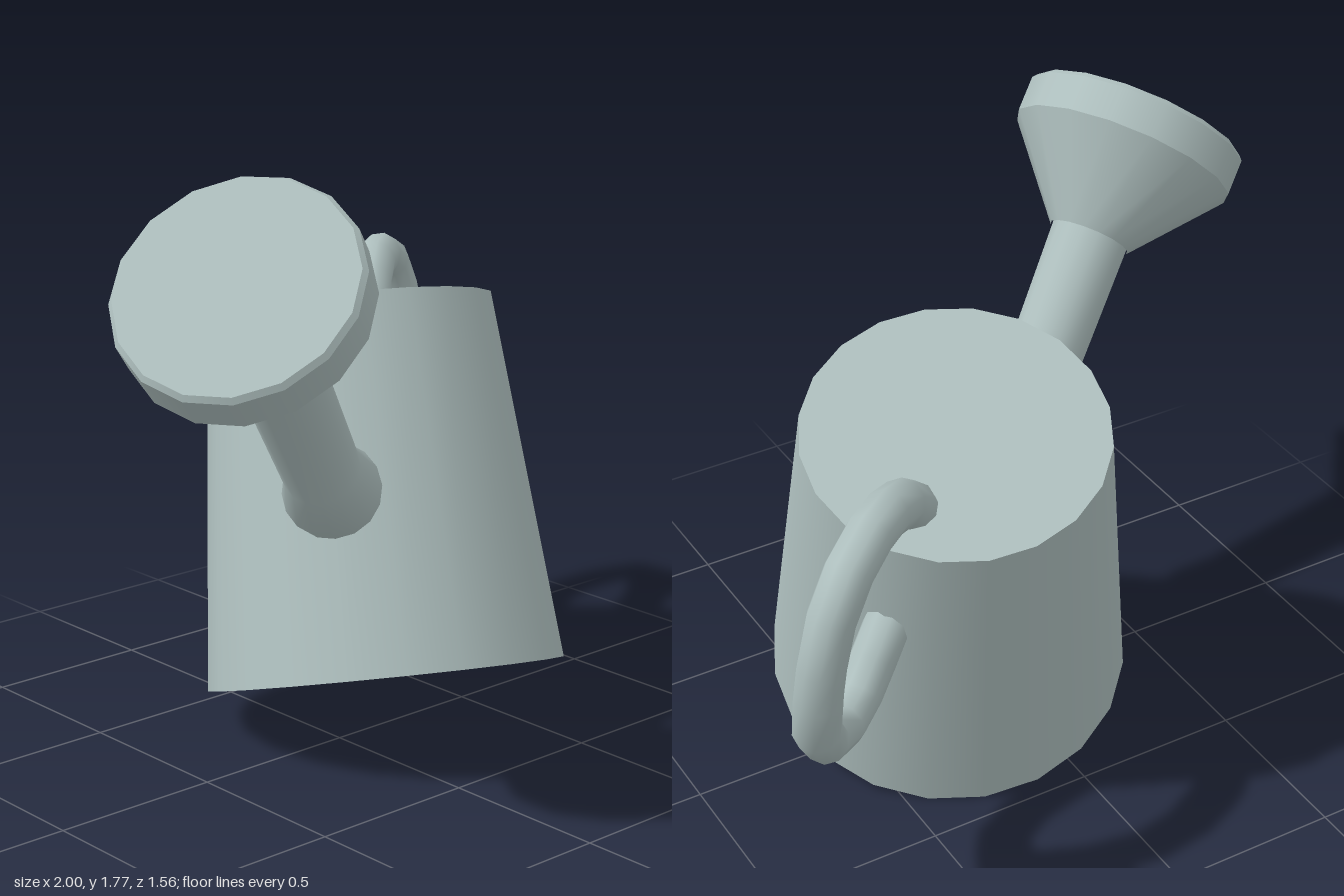
import * as THREE from 'three';
import { mergeVertices } from 'three/addons/utils/BufferGeometryUtils.js';

// Pipe in the XY plane through stations [x, y, radius], one ring per station.
function taperedPipe(stations, sides) {
  const n = stations.length - 1;
  let geo = new THREE.CylinderGeometry(1, 1, 1, sides, n, true);
  const pos = geo.attributes.position;
  for (let i = 0; i < pos.count; i++) {
    const k = Math.round((pos.getY(i) + 0.5) * n);
    const [x, y, r] = stations[k];
    const a = stations[Math.max(k - 1, 0)];
    const b = stations[Math.min(k + 1, n)];
    const t = new THREE.Vector2(b[0] - a[0], b[1] - a[1]).normalize();
    const u = pos.getX(i) * r;
    pos.setXYZ(i, x + t.y * u, y - t.x * u, pos.getZ(i) * r);
  }
  geo.deleteAttribute('uv');
  geo.deleteAttribute('normal');
  geo = mergeVertices(geo);
  geo.computeVertexNormals();
  return geo;
}

export function createModel() {
  const model = new THREE.Group();
  model.name = 'wateringCan';
  const metal = new THREE.MeshStandardMaterial({ color: 0xaebfbe });
  metal.name = 'greyMetal';

  const can = new THREE.Group();
  can.name = 'tiltedCan';
  const add = (name, geo, parent = can) => {
    const mesh = new THREE.Mesh(geo, metal);
    mesh.name = name;
    parent.add(mesh);
    return mesh;
  };

  // Tapered closed body, standing on the local origin
  const height = 1.082;
  add('body', new THREE.CylinderGeometry(0.425, 0.527, height, 20)).position.y = height / 2;

  // Handle from the lid round to the side
  const path = [
    [0.25, 1.02], [0.28, 1.1], [0.35, 1.2], [0.44, 1.27], [0.54, 1.305], [0.66, 1.3],
    [0.76, 1.23], [0.82, 1.09], [0.845, 0.98], [0.86, 0.84], [0.815, 0.72],
    [0.715, 0.645], [0.61, 0.645], [0.52, 0.69], [0.4, 0.76],
  ];
  add('handle', taperedPipe(path.map(([x, y]) => [x, y, 0.066]), 10));

  // Spout with a bend where it enters the body
  add('spout', taperedPipe([
    [-0.3, 0.515, 0.145], [-0.5, 0.535, 0.138], [-0.57, 0.58, 0.11], [-0.99, 0.867, 0.118],
  ], 16));

  // Sprinkler rose: cone, rim, bevel and face, with its face at the local origin
  const rose = new THREE.Group();
  rose.name = 'rose';
  rose.position.set(-1.31, 1.027, 0);
  rose.rotation.z = 1.107;
  const section = (name, y0, r0, y1, r1) => {
    const geo = new THREE.CylinderGeometry(r1, r0, y1 - y0, 16, 1, true);
    add(name, geo, rose).position.y = (y0 + y1) / 2;
  };
  section('roseCone', -0.385, 0.122, -0.12, 0.338);
  section('roseRim', -0.12, 0.338, -0.015, 0.338);
  section('roseBevel', -0.015, 0.338, 0, 0.325);
  add('roseFace', new THREE.CircleGeometry(0.325, 16, Math.PI / 2).rotateX(-Math.PI / 2), rose);
  can.add(rose);

  // Tip the can back and turn it so the handle points to the rear left
  const up = new THREE.Vector3(0.143, 0.94, -0.31).normalize();
  const side = new THREE.Vector3(0.788, -0.298, -0.543);
  const across = new THREE.Vector3().crossVectors(side, up).normalize();
  side.crossVectors(up, across);
  can.quaternion.setFromRotationMatrix(new THREE.Matrix4().makeBasis(side, up, across));
  can.position.set(0.145, 0.175, 0.045);
  model.add(can);
  return model;
}
